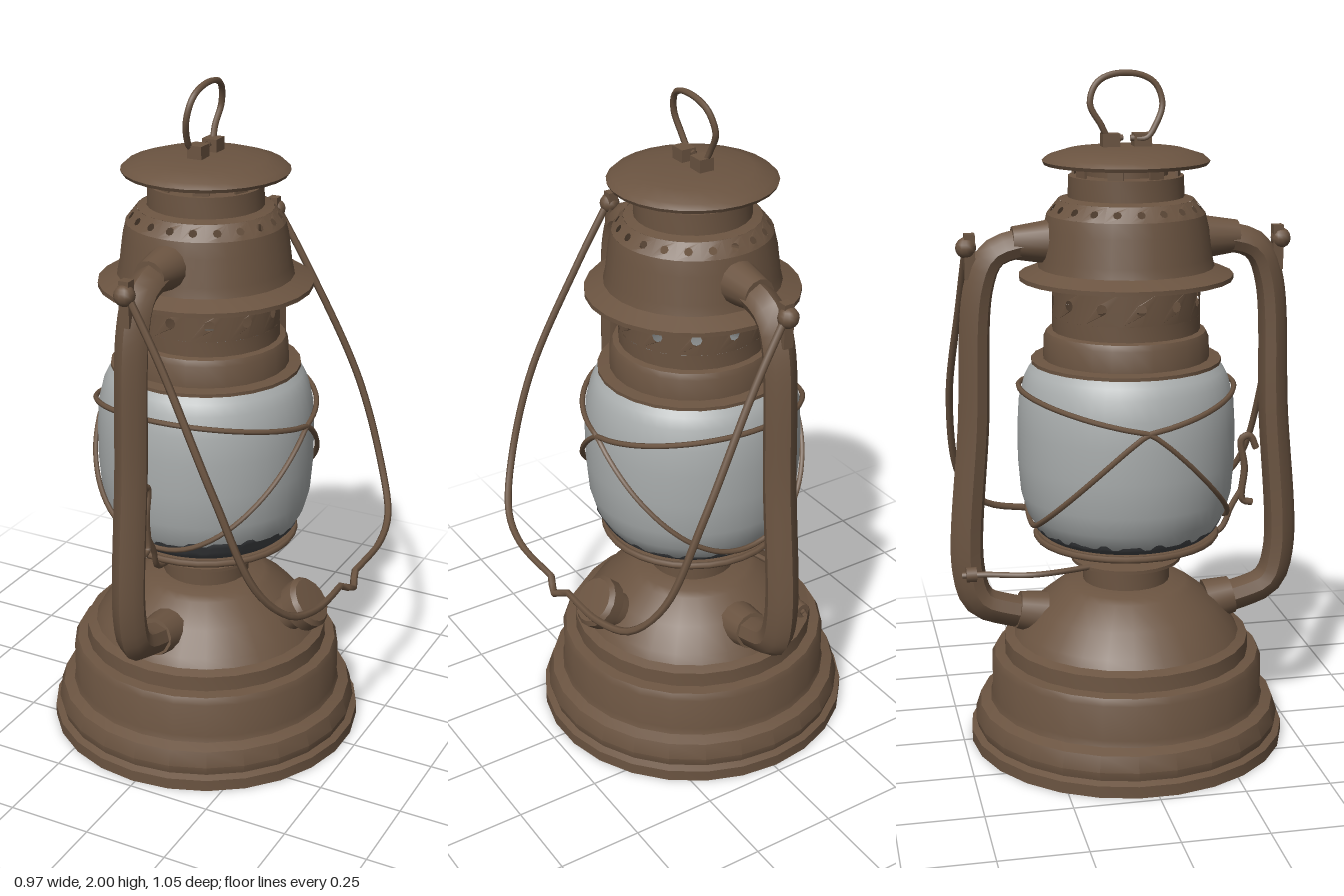
import * as THREE from 'three';
import { toCreasedNormals, mergeGeometries } from 'three/addons/utils/BufferGeometryUtils.js';
import { ParametricGeometry } from 'three/addons/geometries/ParametricGeometry.js';

const metal = new THREE.MeshStandardMaterial({ color: 0x6b5441, side: THREE.DoubleSide });
metal.name = 'brown metal';
const glass = new THREE.MeshStandardMaterial({ color: 0xa9adad, side: THREE.DoubleSide });
glass.name = 'frosted glass';
const sootMat = new THREE.MeshStandardMaterial({ color: 0x45474a, side: THREE.DoubleSide });
sootMat.name = 'dark soot';

const V = (x, y, z) => new THREE.Vector3(x, y, z);

function add(parent, name, geo, mat = metal) {
  const mesh = new THREE.Mesh(geo, mat);
  mesh.name = name;
  parent.add(mesh);
  return mesh;
}

// Turned part from [radius, height] pairs, bottom to top
function turned(profile, segments = 26) {
  const pts = profile.map(([r, y]) => new THREE.Vector2(r, y));
  return toCreasedNormals(new THREE.LatheGeometry(pts, segments), 0.6);
}

function wire(points, radius, closed = false, steps = 64) {
  const curve = new THREE.CatmullRomCurve3(points, closed);
  return new THREE.TubeGeometry(curve, steps, radius, 6, closed);
}

// Ring of n wall panels, each pierced by one round hole
function piercedWall(n, [r0, y0], [r1, y1], holeRadius) {
  const half = Math.PI / n, h = Math.hypot(r1 - r0, y1 - y0), panels = [];
  for (let i = 0; i < n; i++) {
    const s = new THREE.Shape([[-half, 0], [0, 0], [half, 0], [half, 1], [0, 1], [-half, 1]]
      .map(([u, v]) => new THREE.Vector2(u, v)));
    const hole = new THREE.Path();
    hole.absellipse(0, 0.5, holeRadius * 2 / (r0 + r1), holeRadius / h, 0, Math.PI * 2, true);
    s.holes.push(hole);
    const g = new THREE.ShapeGeometry(s, 4), p = g.attributes.position;
    for (let k = 0; k < p.count; k++) {
      const a = p.getX(k) + i * 2 * half, v = p.getY(k), r = r0 + (r1 - r0) * v;
      p.setXYZ(k, r * Math.sin(a), y0 + (y1 - y0) * v, r * Math.cos(a));
    }
    panels.push(g);
  }
  return toCreasedNormals(mergeGeometries(panels), 0.7);
}

const globeProfile = [[0.235, 0.645], [0.265, 0.67], [0.295, 0.72], [0.312, 0.78], [0.32, 0.88],
  [0.32, 0.98], [0.315, 1.06], [0.3, 1.12], [0.285, 1.15], [0.26, 1.175]];

function globeRadius(y) {
  for (let i = 1; i < globeProfile.length; i++) {
    const [r0, y0] = globeProfile[i - 1], [r1, y1] = globeProfile[i];
    if (y <= y1) return r0 + (r1 - r0) * (y - y0) / (y1 - y0);
  }
  return 0.26;
}

// Side arm: pointed hollow section swept from the hood down to the tank
function armGeometry() {
  const path = new THREE.CatmullRomCurve3([[0.2, 1.525], [0.3, 1.52], [0.385, 1.49], [0.425, 1.4],
    [0.447, 1.0], [0.472, 0.56], [0.44, 0.46], [0.36, 0.425], [0.24, 0.4]].map(([z, y]) => V(0, y, z)));
  const section = [[0.05, 0], [0.03, 0.035], [0, 0.05], [-0.03, 0.037], [-0.042, 0],
    [-0.03, -0.037], [0, -0.05], [0.03, -0.035], [0.05, 0]];
  const g = new ParametricGeometry((u, v, out) => {
    const p = path.getPointAt(u), t = path.getTangentAt(u);
    const [n, b] = section[Math.round(v * 8)], k = 0.9 + 0.2 * u;
    out.set(b, p.y + t.z * n * k, p.z - t.y * n * k);
  }, 48, 8);
  return toCreasedNormals(g, 0.75);
}

export function createModel() {
  const root = new THREE.Group();
  root.name = 'lantern';
  const body = new THREE.Group();
  body.name = 'lanternBody';
  body.position.x = -0.01;
  root.add(body);

  // Fuel tank with stepped rim and dome
  add(body, 'fuelTank', turned([[0, 0.005], [0.475, 0.005], [0.475, 0.04], [0.455, 0.048], [0.462, 0.075],
    [0.447, 0.12], [0.415, 0.132], [0.41, 0.15], [0.41, 0.255], [0.4, 0.275], [0.37, 0.28], [0.368, 0.325],
    [0.34, 0.335], [0.325, 0.36], [0.27, 0.425], [0.2, 0.48], [0.18, 0.492], [0.13, 0.5], [0.12, 0.51]]));

  // Burner between tank and globe
  add(body, 'burner', turned([[0.13, 0.49], [0.13, 0.56], [0.165, 0.563], [0.165, 0.573], [0.115, 0.58],
    [0.115, 0.605], [0.2, 0.612], [0.21, 0.63], [0.27, 0.638], [0.272, 0.652], [0.24, 0.656], [0, 0.656]]));

  // Filler cap on the model's left
  const filler = new THREE.Group();
  filler.name = 'fillerCap';
  filler.position.set(0.35, 0.465, 0);
  filler.rotation.z = -0.88;
  body.add(filler);
  add(filler, 'fillerLid', turned([[0.055, -0.13], [0.055, -0.05], [0.078, -0.045], [0.08, -0.005],
    [0.068, 0.008], [0, 0.012]], 16));

  // Glass globe and soot at its foot
  add(body, 'globe', turned(globeProfile, 48), glass);
  add(body, 'soot', new ParametricGeometry((u, v, out) => {
    const a = u * Math.PI * 2;
    const jag = 0.5 + 0.5 * Math.sin(Math.round(a * 9) * 2.4);
    const h = 0.022 + 0.016 * jag + 0.042 * Math.max(0, Math.cos(a - 0.95)) ** 2;
    const y = 0.65 + v * h, r = globeRadius(y) + 0.004;
    out.set(r * Math.cos(a), y, r * Math.sin(a));
  }, 110, 4), sootMat);

  // Guard wires crossing on both sides of the globe
  for (const side of [1, -1]) {
    const pts = [];
    for (let i = 0; i < 40; i++) {
      const a = i / 40 * Math.PI * 2, s = Math.sin(a);
      const y = s > 0 ? 1.03 + 0.07 * s : 1.03 - 0.34 * (-s) ** 1.2;
      const r = globeRadius(y) + 0.01;
      pts.push(V(r * Math.cos(a), y, side * r * s));
    }
    add(body, 'guardWire', wire(pts, 0.008, true, 80));
  }
  const ring = add(body, 'guardRing', new THREE.TorusGeometry(0.268, 0.01, 6, 32));
  ring.rotation.x = Math.PI / 2;
  ring.position.y = 0.645;

  // Chimney and hood
  add(body, 'chimneyFoot', turned([[0.25, 1.17], [0.278, 1.17], [0.278, 1.18], [0.243, 1.184],
    [0.24, 1.245], [0.232, 1.262], [0.215, 1.266], [0.215, 1.31]]));
  add(body, 'chimneyWall', piercedWall(12, [0.215, 1.31], [0.215, 1.405], 0.016));
  add(body, 'hood', turned([[0.215, 1.405], [0.22, 1.415], [0.31, 1.415], [0.31, 1.428], [0.255, 1.45],
    [0.248, 1.48], [0.238, 1.56], [0.228, 1.602]]));
  add(body, 'hoodShoulder', piercedWall(20, [0.228, 1.602], [0.195, 1.643], 0.012));
  add(body, 'hoodNeck', turned([[0.195, 1.643], [0.167, 1.65], [0.165, 1.71], [0.12, 1.712], [0.12, 1.76]]));
  for (let i = 0; i < 8; i++) {
    const a = (i + 0.5) * Math.PI / 4;
    const tab = add(body, 'crownTab', new THREE.BoxGeometry(0.045, 0.055, 0.008));
    tab.position.set(0.15 * Math.sin(a), 1.735, 0.15 * Math.cos(a));
    tab.rotation.y = a;
  }
  add(body, 'cap', turned([[0, 1.755], [0.16, 1.755], [0.235, 1.742], [0.24, 1.752], [0.225, 1.765],
    [0.17, 1.782], [0.1, 1.79], [0, 1.792]]));

  // Lifting ring and its lugs on the cap
  for (const z of [0.045, -0.045]) {
    add(body, 'ringLug', new THREE.BoxGeometry(0.045, 0.045, 0.05)).position.set(0, 1.805, z);
  }
  add(body, 'liftingRing', wire([V(-0.012, 1.815, 0.01), V(-0.018, 1.815, 0.055), V(-0.015, 1.855, 0.085),
    V(-0.005, 1.91, 0.104), V(0.005, 1.965, 0.085), V(0.012, 1.99, 0.04), V(0.012, 1.99, -0.04),
    V(0.005, 1.965, -0.085), V(-0.005, 1.91, -0.104), V(-0.01, 1.855, -0.075), V(-0.005, 1.815, -0.05),
    V(0, 1.815, -0.01)], 0.009));

  // Side arms, front and back
  const armGeo = armGeometry();
  for (const turn of [0, Math.PI]) {
    const arm = new THREE.Group();
    arm.name = 'sideArm';
    arm.rotation.y = turn;
    body.add(arm);
    add(arm, 'armTube', armGeo);
    add(arm, 'armEar', new THREE.BoxGeometry(0.03, 0.13, 0.03)).position.set(0, 1.49, 0.452);
    const upper = add(arm, 'upperCollar', new THREE.CylinderGeometry(0.047, 0.066, 0.12, 14));
    upper.rotation.x = Math.PI / 2;
    upper.position.set(0, 1.525, 0.27);
    const lower = add(arm, 'lowerCollar', new THREE.CylinderGeometry(0.056, 0.066, 0.08, 14));
    lower.rotation.x = Math.PI / 2 - 0.2;
    lower.position.set(0, 0.41, 0.29);
    const pivot = add(arm, 'handlePivot', new THREE.SphereGeometry(0.03, 12, 8));
    pivot.position.set(0, 1.515, 0.462);
  }

  // Carrying handle, swung down to the model's left
  add(root, 'carryHandle', wire([V(-0.01, 1.53, 0.46), V(0.1, 1.34, 0.472), V(0.27, 1.0, 0.492),
    V(0.375, 0.73, 0.45), V(0.435, 0.62, 0.36), V(0.462, 0.585, 0.24), V(0.463, 0.575, 0.1),
    V(0.458, 0.57, 0.05), V(0.478, 0.545, 0), V(0.46, 0.57, -0.05), V(0.463, 0.575, -0.1),
    V(0.463, 0.585, -0.24), V(0.435, 0.62, -0.37), V(0.375, 0.73, -0.455), V(0.27, 1.0, -0.492),
    V(0.1, 1.34, -0.472), V(-0.01, 1.53, -0.46)], 0.011, false, 90));

  // Globe lift lever by the front arm
  add(body, 'liftLever', wire([V(0, 0.88, 0.40), V(0, 0.92, 0.38), V(0, 0.91, 0.355), V(0, 0.82, 0.365),
    V(0, 0.72, 0.36), V(0, 0.71, 0.39)], 0.011, false, 30));
  add(body, 'liftWire', wire([V(0, 0.75, 0.355), V(0, 0.7, 0.325), V(-0.01, 0.635, 0.29),
    V(-0.02, 0.605, 0.2), V(-0.02, 0.585, 0.1)], 0.009, false, 30));

  // Wick adjuster reaching out behind
  add(body, 'wickSpindle', wire([V(-0.08, 0.57, -0.08), V(-0.125, 0.57, -0.3), V(-0.08, 0.565, -0.44),
    V(-0.062, 0.56, -0.5)], 0.009, false, 24));
  const knob = add(body, 'wickKnob', new THREE.CylinderGeometry(0.022, 0.022, 0.03, 12));
  knob.rotation.x = Math.PI / 2;
  knob.position.set(-0.065, 0.562, -0.475);

  return root;
}
